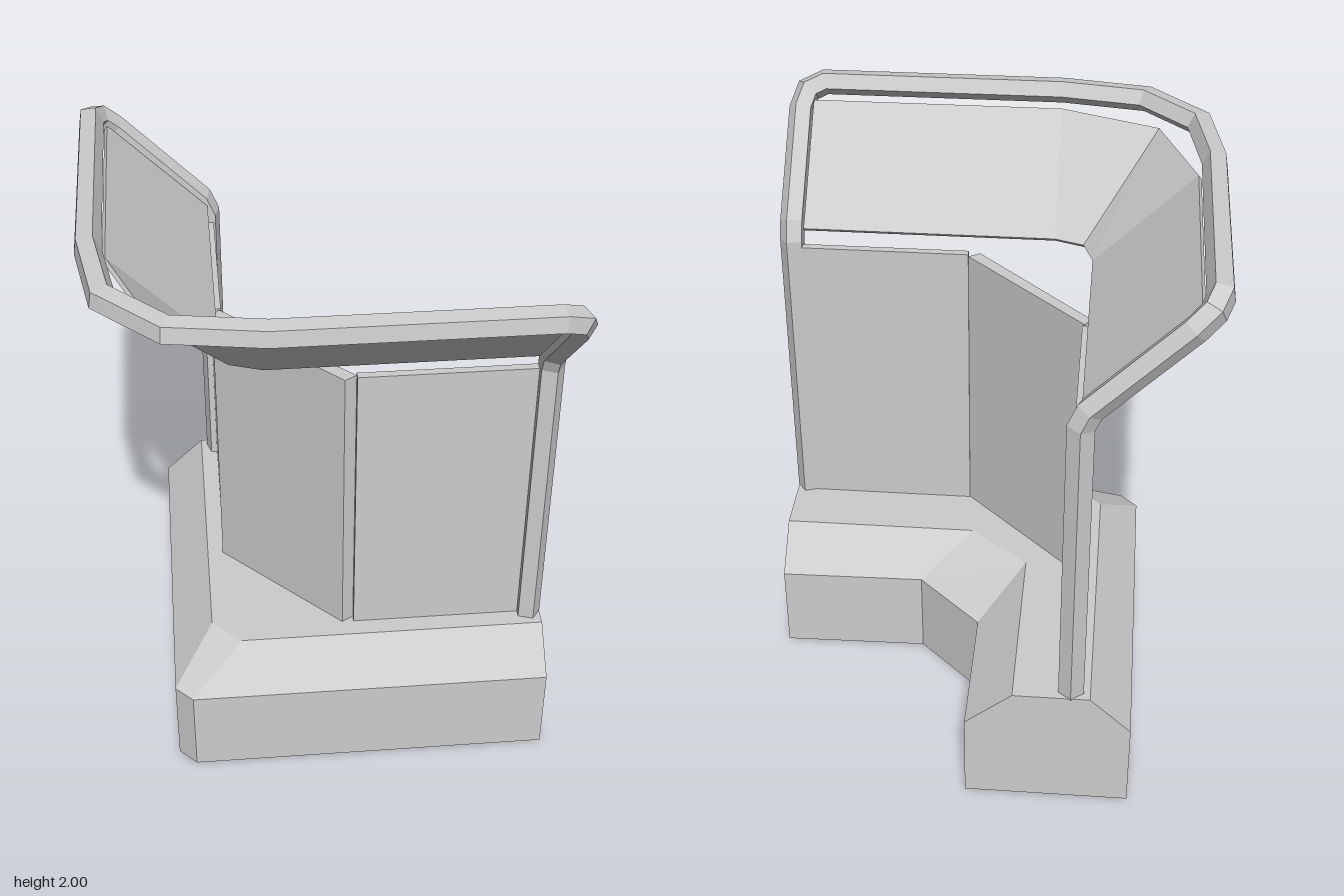
import * as THREE from 'three';

const V = (x, y, z) => new THREE.Vector3(x, y, z);

// Joins equal-sized rings (counter-clockwise against the travel direction) and caps both ends
function loft(rings, capFaces) {
  const n = rings[0].length, last = (rings.length - 1) * n, index = [];
  const caps = capFaces || Array.from({ length: n - 2 }, (_, i) => [0, i + 1, i + 2]);
  for (let r = 0; r < rings.length - 1; r++) {
    for (let i = 0; i < n; i++) {
      const a = r * n + i, b = r * n + (i + 1) % n;
      index.push(a, b, b + n, a, b + n, a + n);
    }
  }
  for (const [a, b, c] of caps) index.push(c, b, a, last + a, last + b, last + c);
  let g = new THREE.BufferGeometry().setFromPoints(rings.flat());
  g.setIndex(index);
  g = g.toNonIndexed();
  g.computeVertexNormals();
  return g;
}

// Upright prism from a plan outline of [x, z] points, one outline per height
function prism(layers) {
  const contour = layers[0][1].map(([x, z]) => new THREE.Vector2(x, -z));
  return loft(layers.map(([y, pts]) => pts.map(([x, z]) => V(x, y, z))),
    THREE.ShapeUtils.triangulateShape(contour, []));
}

// Carries a cross-section along a path, mitred at every bend
function sweep(path, ring) {
  const rings = [ring];
  for (let i = 1; i < path.length; i++) {
    const dir = path[i].clone().sub(path[i - 1]).normalize();
    const next = i < path.length - 1 ? path[i + 1].clone().sub(path[i]).normalize() : dir;
    const normal = dir.clone().add(next).normalize();
    rings.push(rings[i - 1].map((p) => {
      const t = path[i].clone().sub(p).dot(normal) / dir.dot(normal);
      return p.clone().addScaledVector(dir, t);
    }));
  }
  return loft(rings);
}

// The two arms mirror each other across the diagonal of the plan
const mirror = (p) => V(-p.z, p.y, -p.x);
const both = (half) => [...half, ...half.map(mirror).reverse()];

export function createModel() {
  const group = new THREE.Group();
  const grey = new THREE.MeshStandardMaterial({ color: 0xcccccc, flatShading: true });
  grey.name = 'light grey';
  const add = (name, geometry) => {
    const mesh = new THREE.Mesh(geometry, grey);
    mesh.name = name;
    group.add(mesh);
  };

  // L-shaped base with bevelled shoulders
  const foot = [[-0.54, 0.48], [-0.48, 0.54], [0.765, 0.54], [0.765, -0.05],
    [0.25, -0.04], [0.02, -0.26], [0.02, -0.765], [-0.54, -0.765]];
  const shoulder = [[-0.4, 0.3], [-0.3, 0.4], [0.765, 0.4], [0.765, 0.1],
    [0.07, 0.1], [-0.14, -0.07], [-0.14, -0.765], [-0.4, -0.765]];
  add('base', prism([[0, foot], [0.32, foot], [0.455, shoulder]]));

  // Upright wall panels
  const wall = (name, pts, top) => add(name, prism([[0.45, pts], [top, pts]]));
  wall('frontPanel', [[0.1, 0.335], [0.7, 0.335], [0.7, 0.307], [0.1, 0.307]], 1.513);
  wall('sidePanel', [[-0.34, -0.115], [-0.315, -0.115], [-0.315, -0.7], [-0.34, -0.7]], 1.505);
  wall('diagonalPanel', [[-0.345, -0.075], [0.06, 0.335], [0.1, 0.31], [-0.322, -0.108]], 1.505);

  // Five-sided frame: post, slope, rail around the corner, and back down
  const path = both([
    V(0.722, 0.45, 0.335), V(0.722, 1.53, 0.335), V(0.722, 1.59, 0.36),
    V(0.722, 1.885, 0.65), V(0.702, 1.935, 0.7), V(0.645, 1.957, 0.722),
    V(-0.2, 1.957, 0.722), V(-0.49, 1.957, 0.675),
  ]);
  const section = Array.from({ length: 5 }, (_, i) => {
    const a = i * Math.PI * 2 / 5;
    return V(0.722 + 0.045 * Math.cos(a), 0.45, 0.335 - 0.045 * Math.sin(a));
  });
  add('frame', sweep(path, section));

  // Flared canopy: [bottom x, bottom z, top x, top z, outward x, outward z]
  const ribs = [
    [0.68, 0.33, 0.68, 0.665, 0, 1], [-0.2, 0.33, -0.2, 0.665, 0, 1],
    [-0.3, 0.295, -0.54, 0.535, -0.7, 0.7],
    [-0.335, 0.19, -0.67, 0.19, -1, 0], [-0.335, -0.68, -0.67, -0.68, -1, 0],
  ];
  const t = 0.01;
  add('canopy', loft(ribs.map(([bx, bz, tx, tz, ox, oz]) => [
    V(bx + ox * t, 1.565, bz + oz * t), V(tx + ox * t, 1.9, tz + oz * t),
    V(tx, 1.912, tz), V(bx, 1.577, bz),
  ])));

  return group;
}
